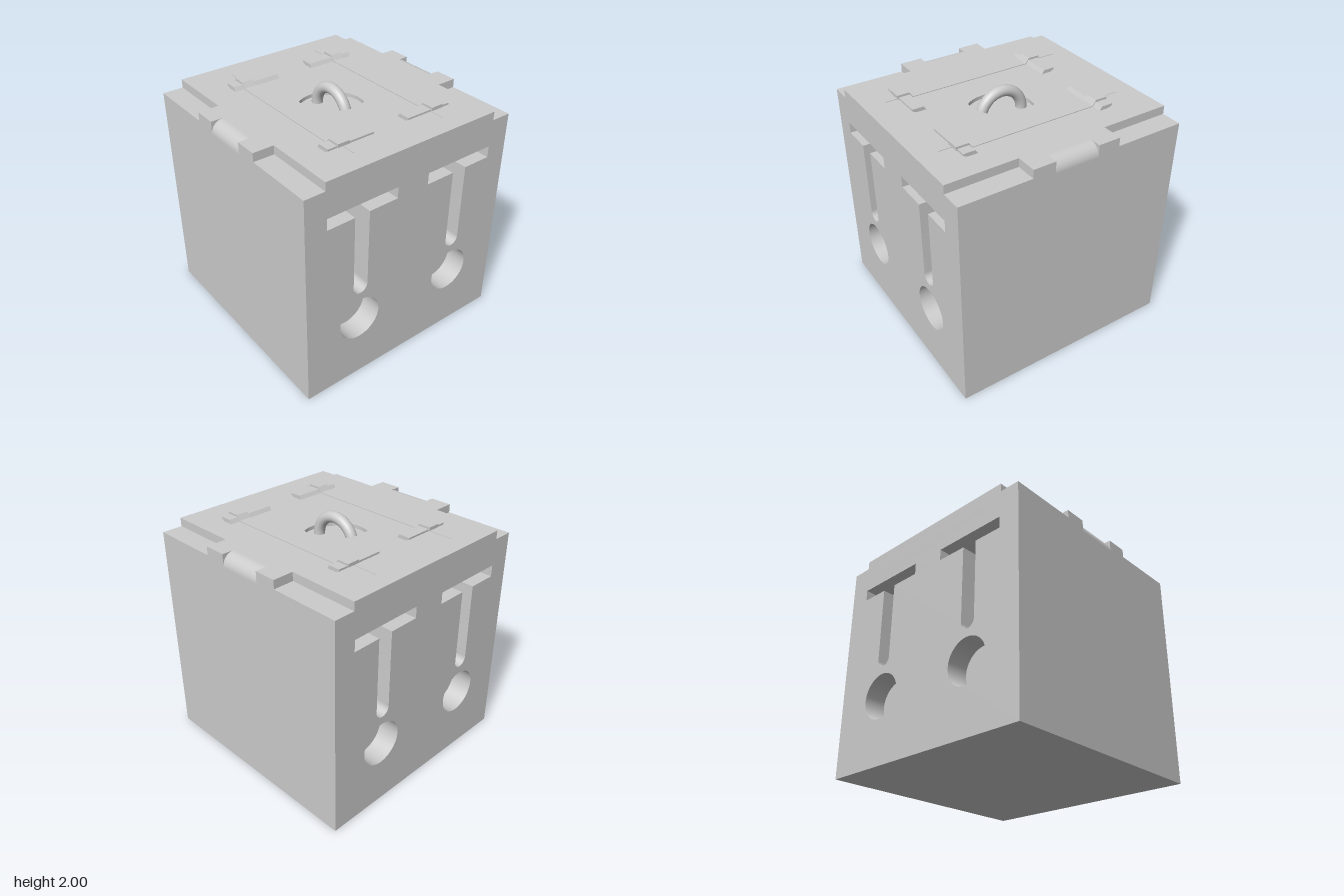
import * as THREE from 'three';
import { toCreasedNormals } from 'three/addons/utils/BufferGeometryUtils.js';

const material = new THREE.MeshStandardMaterial({ color: 0xcccccc });
const HALF = 0.95;

function polygon(points) {
  return new THREE.Shape(points.map(([x, y]) => new THREE.Vector2(x, y)));
}

function circleHole(x, y, r) {
  return new THREE.Path().absarc(x, y, r, 0, Math.PI * 2, true);
}

function extrude(shape, depth) {
  const g = new THREE.ExtrudeGeometry(shape, { depth, bevelEnabled: false, curveSegments: 40 });
  return toCreasedNormals(g, 0.5);
}

export function createModel() {
  const model = new THREE.Group();
  const add = (name, geometry, parent = model) => {
    const mesh = new THREE.Mesh(geometry, material);
    mesh.name = name;
    parent.add(mesh);
    return mesh;
  };
  const box = (name, w, h, d, x, y, z) =>
    add(name, new THREE.BoxGeometry(w, h, d).translate(x, y, z));

  // Solid core; its top is the floor of the handle well
  const wellFloor = 1.77, slotDepth = 0.3, portDepth = 0.18;
  const coreZ = HALF - slotDepth;
  box('core', HALF * 2, wellFloor, coreZ * 2, 0, wellFloor / 2, 0);

  // Front and back walls with T slots and round ports
  const wall = polygon([[-HALF, 0], [HALF, 0], [HALF, wellFloor], [-HALF, wellFloor]]);
  for (const s of [-1, 1]) {
    const slot = new THREE.Path();
    slot.moveTo(s * 0.465 - 0.065, 0.875);
    slot.absarc(s * 0.465, 0.875, 0.065, Math.PI, Math.PI * 2, false);
    const bar = [s * 0.145, s * 0.77].sort((a, b) => a - b);
    slot.lineTo(s * 0.465 + 0.065, 1.515);
    slot.lineTo(bar[1], 1.515);
    slot.lineTo(bar[1], 1.61);
    slot.lineTo(bar[0], 1.61);
    slot.lineTo(bar[0], 1.515);
    slot.lineTo(s * 0.465 - 0.065, 1.515);
    slot.closePath();
    wall.holes.push(slot, circleHole(s * 0.465, 0.56, 0.185));
  }
  const wallGeometry = extrude(wall, slotDepth).translate(0, 0, coreZ);
  const plugDepth = slotDepth - portDepth;
  for (const [name, turn] of [['front', 0], ['back', Math.PI]]) {
    const side = new THREE.Group();
    side.name = name + 'Wall';
    side.rotation.y = turn;
    model.add(side);
    add(name + 'Panel', wallGeometry, side);
    for (const x of [-0.465, 0.465]) {
      const floor = new THREE.CylinderGeometry(0.185, 0.185, plugDepth, 80).rotateX(Math.PI / 2);
      add(name + 'PortFloor', floor.translate(x, 0.56, coreZ + plugDepth / 2), side);
    }
  }

  // Lid in layers: handle well, rounded finger grips and stepped corners
  const grip = 0.1, gripZ = 0.185, notchX = 0.78, notchZ = 0.37;
  const outline = (cornerX, gripX) => {
    const quarter = [[cornerX, HALF], [cornerX, notchZ], [HALF, notchZ], [HALF, gripZ], [gripX, gripZ]];
    const right = [...quarter, ...quarter.map(([x, z]) => [x, -z]).reverse()];
    return polygon([...right, ...right.map(([x, z]) => [-x, -z])]);
  };
  const square = polygon([[-HALF, -HALF], [HALF, -HALF], [HALF, HALF], [-HALF, HALF]]);
  const layers = [
    ['lidBase', square, wellFloor, 1.8],
    ['lidMiddle', polygon([[HALF, HALF], [HALF, gripZ], [HALF - grip, gripZ], [HALF - grip, -gripZ],
      [HALF, -gripZ], [HALF, -HALF], [-HALF, -HALF], [-HALF, -gripZ], [grip - HALF, -gripZ],
      [grip - HALF, gripZ], [-HALF, gripZ], [-HALF, HALF]]), 1.8, 1.83],
    ['lidTop', outline(notchX, HALF - grip), 1.83, 1.9],
  ];
  for (const [name, shape, y0, y1] of layers) {
    shape.holes.push(circleHole(0, 0, 0.27));
    add(name, extrude(shape, y1 - y0).rotateX(-Math.PI / 2).translate(0, y0, 0));
  }

  // Rounded finger grips
  const gripShape = new THREE.Shape();
  gripShape.moveTo(HALF - grip, 1.8);
  gripShape.lineTo(HALF, 1.8);
  gripShape.absarc(HALF - grip, 1.8, grip, 0, Math.PI / 2, false);
  const gripGeometry = extrude(gripShape, gripZ * 2).translate(0, 0, -gripZ);
  add('leftFingerGrip', gripGeometry);
  add('rightFingerGrip', gripGeometry).rotation.y = Math.PI;

  // Arched handle in the well
  add('handle', new THREE.TorusGeometry(0.185, 0.045, 24, 48, Math.PI)
    .rotateY(Math.PI / 2).translate(0, wellFloor, 0));

  // Clamps, straps and thin blades on the lid
  const barProfile = [[0.68, 1.93], [0.68, 1.915], [0.65, 1.9], [0.565, 1.9], [0.585, 1.93]];
  const blockProfile = [[0.69, 1.947], [0.69, 1.92], [0.65, 1.9], [0.555, 1.9], [0.59, 1.947]];
  const clampPart = (name, profile, back, x, width) => {
    const shape = polygon(profile.map(([z, y]) => [back ? 0.07 - z : z, y]));
    add(name, extrude(shape, width).rotateY(-Math.PI / 2).translate(x + width / 2, 0, 0));
  };
  for (const s of [-1, 1]) {
    const strapX = 0.01 + s * 0.436;
    for (const back of [false, true]) {
      clampPart('clampBar', barProfile, back, 0.01 + s * 0.363, 0.405);
      clampPart('clampBlock', blockProfile, back, strapX, 0.102);
    }
    box('strap', 0.102, 0.006, 1.06, strapX, 1.903, 0.035);
    box('blade', 0.006, 0.004, 1.57, s * 0.412, 1.902, -0.005);
  }
  return model;
}
